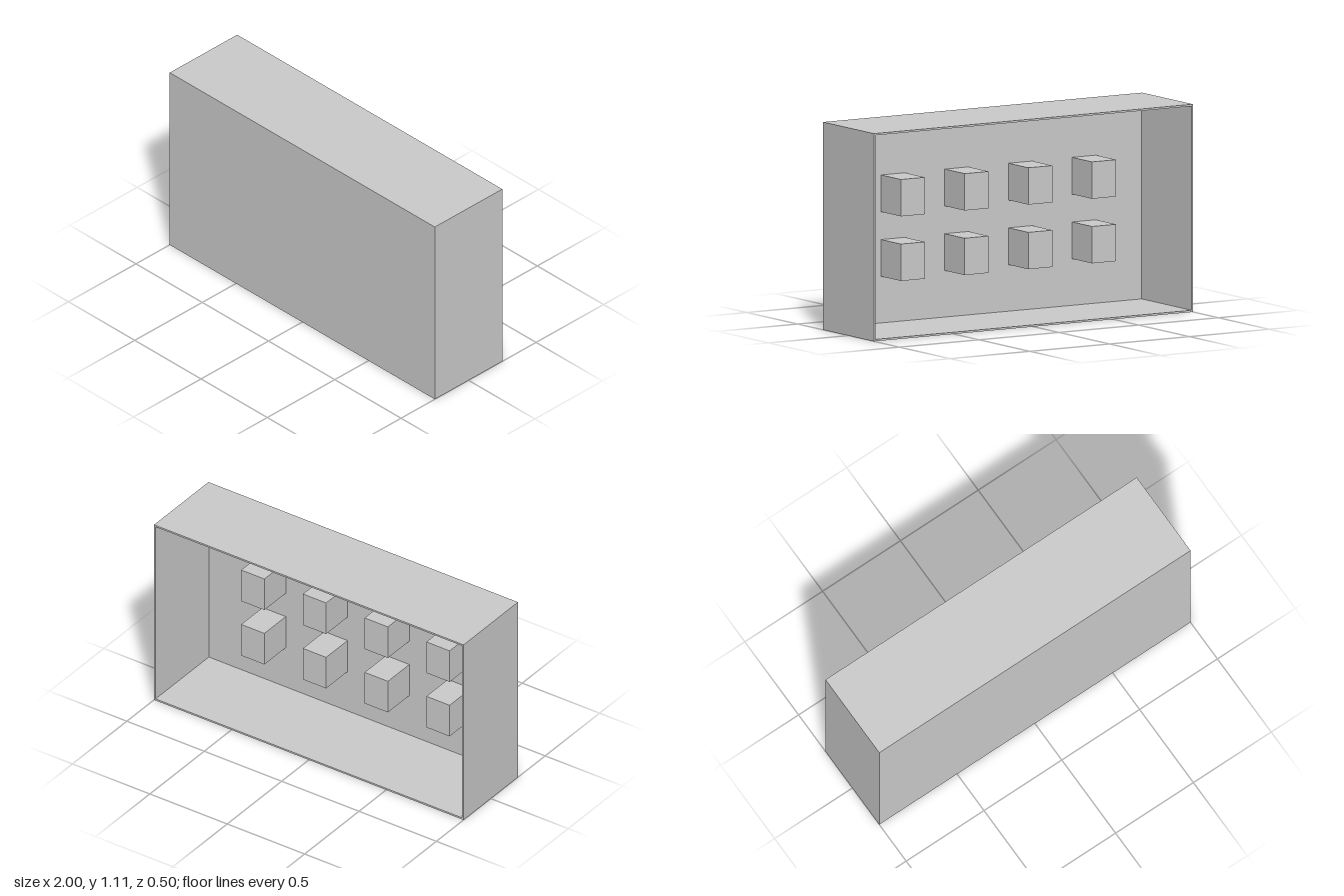
import * as THREE from 'three';

const W = 2, H = 1.11, D = 0.5, T = 0.01; // outer size and wall thickness

export function createModel() {
  const group = new THREE.Group();
  const material = new THREE.MeshStandardMaterial({ color: 0xcccccc, flatShading: true });

  const addBox = (name, size, position) => {
    const mesh = new THREE.Mesh(new THREE.BoxGeometry(...size), material);
    mesh.name = name;
    mesh.position.set(...position);
    group.add(mesh);
  };

  // Front panel closing the case; the back stays open
  addBox('frontPanel', [W, H, T], [0, H / 2, D / 2 - T / 2]);

  // Thin surrounding walls
  const wallDepth = D - T;
  for (const [name, side] of [['leftWall', 1], ['rightWall', -1]]) {
    addBox(name, [T, H, wallDepth], [side * (W - T) / 2, H / 2, -T / 2]);
  }
  for (const [name, y] of [['topWall', H - T / 2], ['bottomWall', T / 2]]) {
    addBox(name, [W - 2 * T, T, wallDepth], [0, y, -T / 2]);
  }

  // Two rows of four blocks on the inside of the front panel
  const block = [0.15, 0.197, 0.197];
  for (let row = 0; row < 2; row++) {
    for (let col = 0; col < 4; col++) {
      addBox(`block_${row + 1}_${col + 1}`, block, [
        0.568 - col * 0.399,
        0.702 - row * 0.345,
        D / 2 - T - block[2] / 2,
      ]);
    }
  }

  return group;
}
